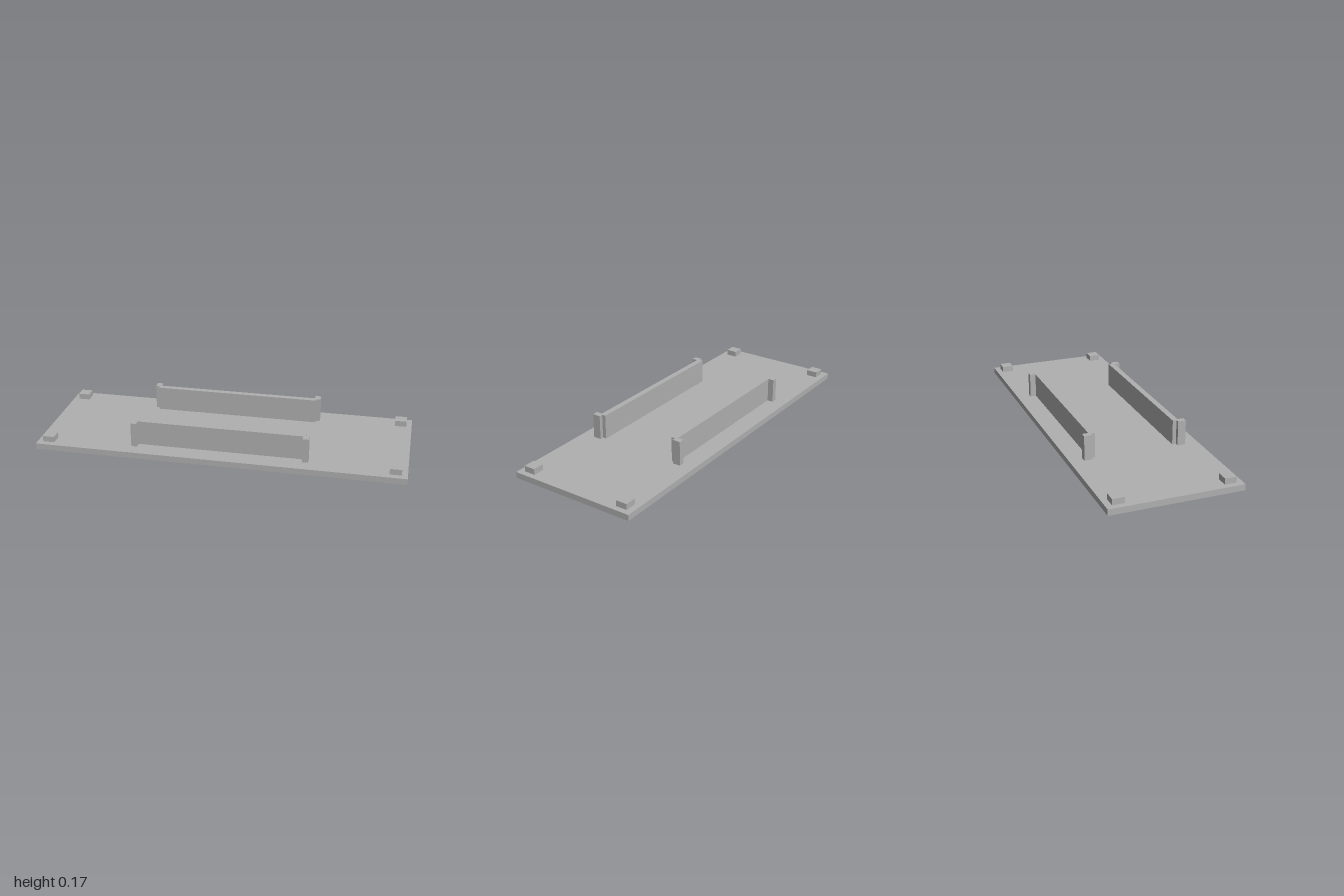
import * as THREE from 'three';

export function createModel() {
  const group = new THREE.Group();
  group.name = 'basePlateWithRails';
  const grey = new THREE.MeshStandardMaterial({ color: 0xb0b0b0 });
  grey.name = 'plain grey';
  const plateTop = 0.033;

  const add = (name, geometry, x, y, z) => {
    const mesh = new THREE.Mesh(geometry, grey);
    mesh.name = name;
    mesh.position.set(x, y, z);
    group.add(mesh);
    return mesh;
  };

  // Flat rectangular plate
  add('basePlate', new THREE.BoxGeometry(2, plateTop, 0.711), 0, plateTop / 2, 0);

  // Small square pads at the four corners
  const pad = new THREE.BoxGeometry(0.063, 0.032, 0.063);
  for (const sx of [-1, 1]) {
    for (const sz of [-1, 1]) {
      add((sz > 0 ? 'front' : 'back') + (sx > 0 ? 'Left' : 'Right') + 'Pad',
        pad, sx * 0.938, plateTop + 0.016, sz * 0.291);
    }
  }

  // Rail plan: a thin wall with offset end posts; half outline as [x, z], mirrored
  const half = [[0.46, 0.216], [0.46, 0.237], [0.481, 0.237],
    [0.481, 0.281], [0.449, 0.281], [0.449, 0.248]];
  const outline = [...half, ...half.map(([x, z]) => [-x, z]).reverse()];
  const plan = new THREE.Shape(outline.map(([x, z]) => new THREE.Vector2(x, -z)));
  const rail = new THREE.ExtrudeGeometry(plan, { depth: 0.135, bevelEnabled: false });
  rail.rotateX(-Math.PI / 2);

  add('frontRail', rail, 0, plateTop, 0);
  add('backRail', rail, 0, plateTop, 0).rotation.y = Math.PI;

  return group;
}
